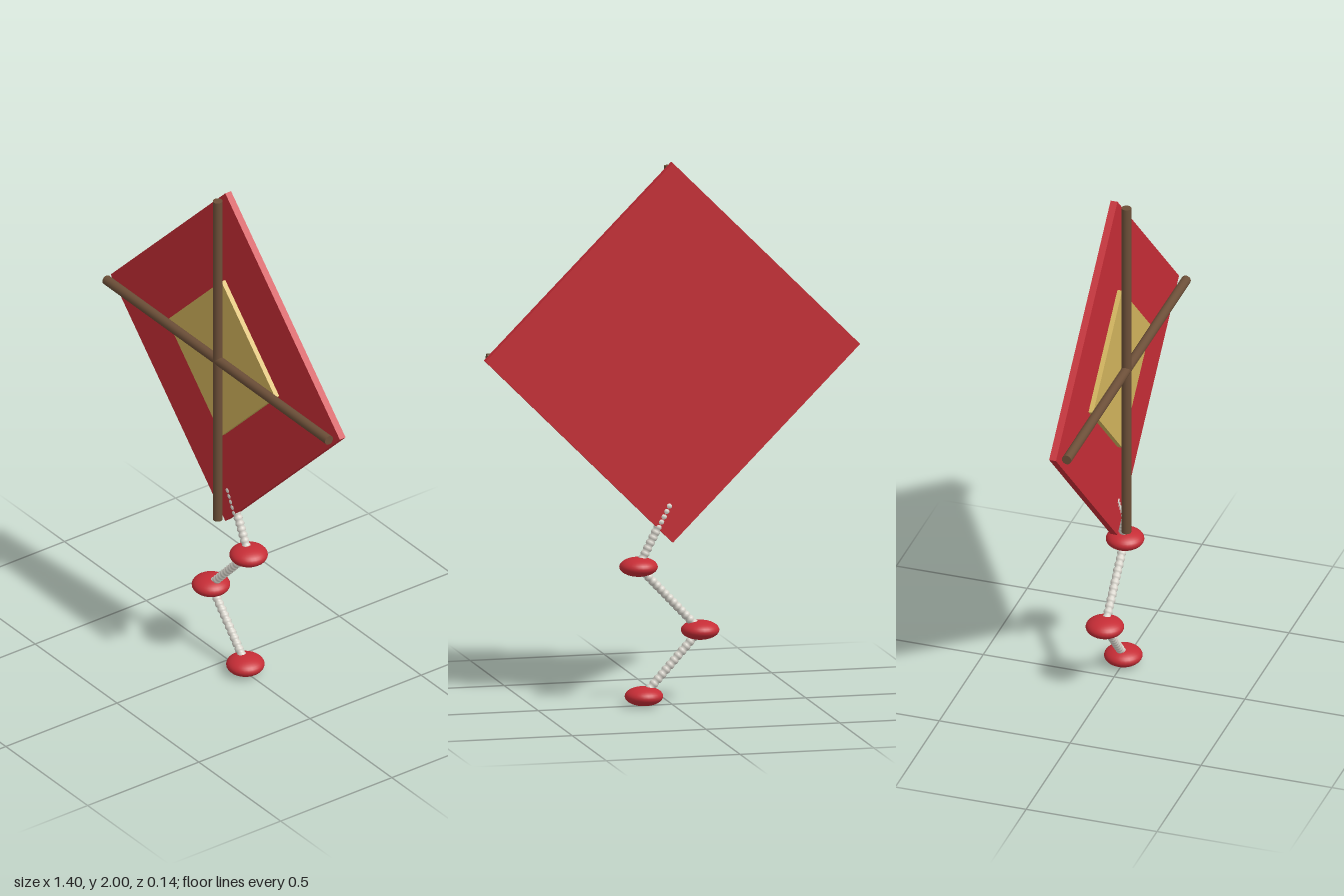
import * as THREE from 'three';

const mat = (name, color) => {
  const m = new THREE.MeshStandardMaterial({ color });
  m.name = name;
  return m;
};

export function createModel() {
  const red = mat('red', 0xc62d36);
  const gold = mat('gold', 0xd2b45c);
  const wood = mat('woodBrown', 0x6c4f38);
  const cord = mat('cordWhite', 0xd8d5cc);

  const kite = new THREE.Group();
  kite.name = 'kite';
  const add = (name, geometry, material, x, y, z) => {
    const mesh = new THREE.Mesh(geometry, material);
    mesh.name = name;
    mesh.position.set(x, y, z);
    kite.add(mesh);
    return mesh;
  };
  const midY = 1.3;

  // Square panels turned on their corner; half is the half diagonal
  const diamond = (name, half, depth, z, material) => {
    const side = half * Math.SQRT2;
    add(name, new THREE.BoxGeometry(side, side, depth), material, 0, midY, z).rotation.z = Math.PI / 4;
  };
  diamond('sail', 0.7, 0.026, 0, red);
  diamond('centrePanel', 0.33, 0.026, 0.018, gold);

  // Crossed spars
  const spar = new THREE.CylinderGeometry(0.018, 0.018, 1.36, 16);
  add('uprightSpar', spar, wood, 0, midY, 0.047);
  add('crossSpar', spar, wood, 0, midY, 0.047).rotation.z = Math.PI / 2;

  // Zigzag tail: ribbed cord between flattened bobbles
  const knots = [[0.008, 0.745], [0.125, 0.515], [-0.105, 0.272], [0.105, 0.04]]
    .map(([x, y]) => new THREE.Vector3(x, y, 0));
  const up = new THREE.Vector3(0, 1, 0);

  const ribbedCord = (length) => {
    const ribs = Math.round(length / 0.022);
    const pitch = length / ribs;
    const profile = [new THREE.Vector2(0, 0)];
    for (let i = 0; i < ribs; i++) {
      for (const [t, r] of [[0, 0.0125], [0.25, 0.0158], [0.5, 0.017], [0.75, 0.0158]]) {
        profile.push(new THREE.Vector2(r, (i + t) * pitch));
      }
    }
    profile.push(new THREE.Vector2(0.0125, length), new THREE.Vector2(0, length));
    return new THREE.LatheGeometry(profile, 14);
  };

  const bobble = new THREE.SphereGeometry(0.07, 28, 18);
  for (let i = 1; i < knots.length; i++) {
    const from = knots[i];
    const dir = knots[i - 1].clone().sub(from);
    const length = dir.length();
    add(`tailCord${i}`, ribbedCord(length), cord, from.x, from.y, 0)
      .quaternion.setFromUnitVectors(up, dir.normalize());
    add(`tailBobble${i}`, bobble, red, from.x, from.y, 0).scale.y = 0.5;
  }

  // Rest the lowest bobble on the ground
  kite.children.forEach((part) => { if (part.name === 'tailBobble3') part.position.y = 0.037; });
  return kite;
}
